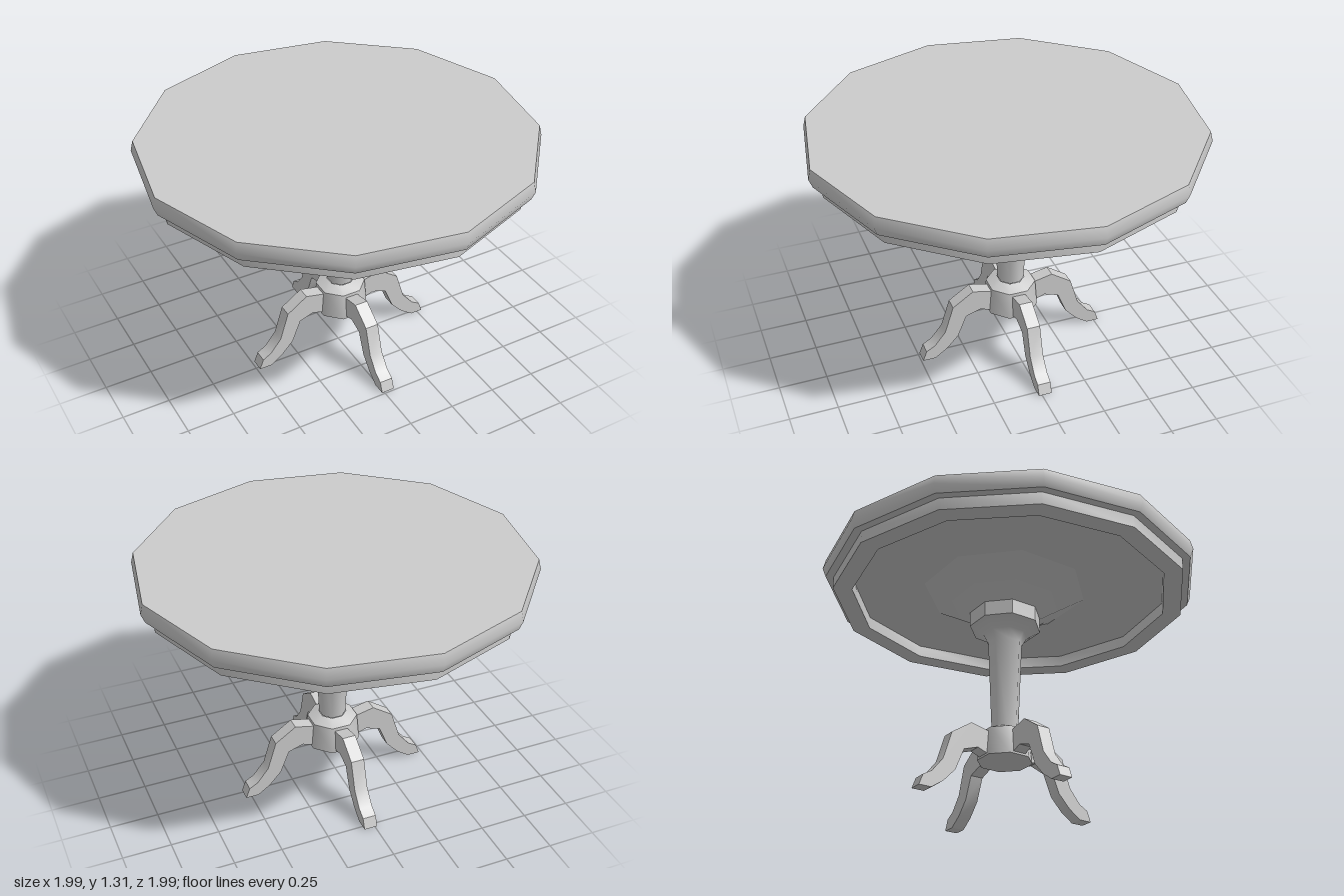
import * as THREE from 'three';
import { toCreasedNormals } from 'three/addons/utils/BufferGeometryUtils.js';

const material = new THREE.MeshStandardMaterial({ color: 0xcccccc });

function part(name, geometry, crease) {
  const mesh = new THREE.Mesh(toCreasedNormals(geometry, crease), material);
  mesh.name = name;
  return mesh;
}

// Faceted turning: profile of [radius, y] pairs listed from the bottom up.
function turned(name, profile, sides, turn, crease = 0.87) {
  const points = profile.map(([r, y]) => new THREE.Vector2(r, y));
  return part(name, new THREE.LatheGeometry(points, sides, turn), crease);
}

export function createModel() {
  const table = new THREE.Group();
  table.name = 'pedestalTable';

  // Twelve-sided top with a bulging rim, and a ring apron under it
  const topTurn = THREE.MathUtils.degToRad(5);
  table.add(turned('tableTop', [
    [0, 1.21], [0.982, 1.21], [1, 1.255], [0.987, 1.307], [0, 1.307],
  ], 12, topTurn));
  table.add(turned('apron', [
    [0.84, 1.21], [0.84, 1.145], [0.94, 1.145], [0.94, 1.21],
  ], 12, topTurn));

  // Eight-sided pedestal, set slightly off the centre of the top
  const base = new THREE.Group();
  base.name = 'base';
  base.position.set(0.023, 0, -0.018);
  table.add(base);

  const flat = Math.cos(Math.PI / 8);
  const octagon = (name, profile, crease) =>
    base.add(turned(name, profile.map(([w, y]) => [w / flat, y]), 8, Math.PI / 8, crease));
  octagon('hub', [[0, 0.23], [0.131, 0.23], [0.12, 0.378], [0.066, 0.405]]);
  octagon('column', [[0.064, 0.405], [0.083, 0.89], [0.108, 0.94], [0.174, 0.983]]);
  octagon('collar', [[0.174, 0.983], [0.174, 1.063]], 0.5);
  octagon('topSupport', [[0.174, 1.063], [0.3, 1.145], [0.405, 1.212]]);

  // Four curved legs along the axes
  const legOutline = [
    [0.09, 0.354], [0.12, 0.36], [0.222, 0.383], [0.333, 0.308], [0.38, 0.158],
    [0.44, 0.083], [0.487, 0.056], [0.508, 0], [0.44, 0], [0.375, 0.045],
    [0.31, 0.115], [0.262, 0.233], [0.182, 0.26], [0.128, 0.24], [0.09, 0.24],
  ];
  const thickness = 0.07;
  const legShape = new THREE.Shape(legOutline.map(([x, y]) => new THREE.Vector2(x, y)));
  const legGeometry = new THREE.ExtrudeGeometry(legShape, { depth: thickness, bevelEnabled: false });
  legGeometry.translate(0, 0, -thickness / 2);
  ['leftLeg', 'backLeg', 'rightLeg', 'frontLeg'].forEach((name, i) => {
    const leg = part(name, legGeometry, 0.6);
    leg.rotation.y = i * Math.PI / 2;
    base.add(leg);
  });

  return table;
}
